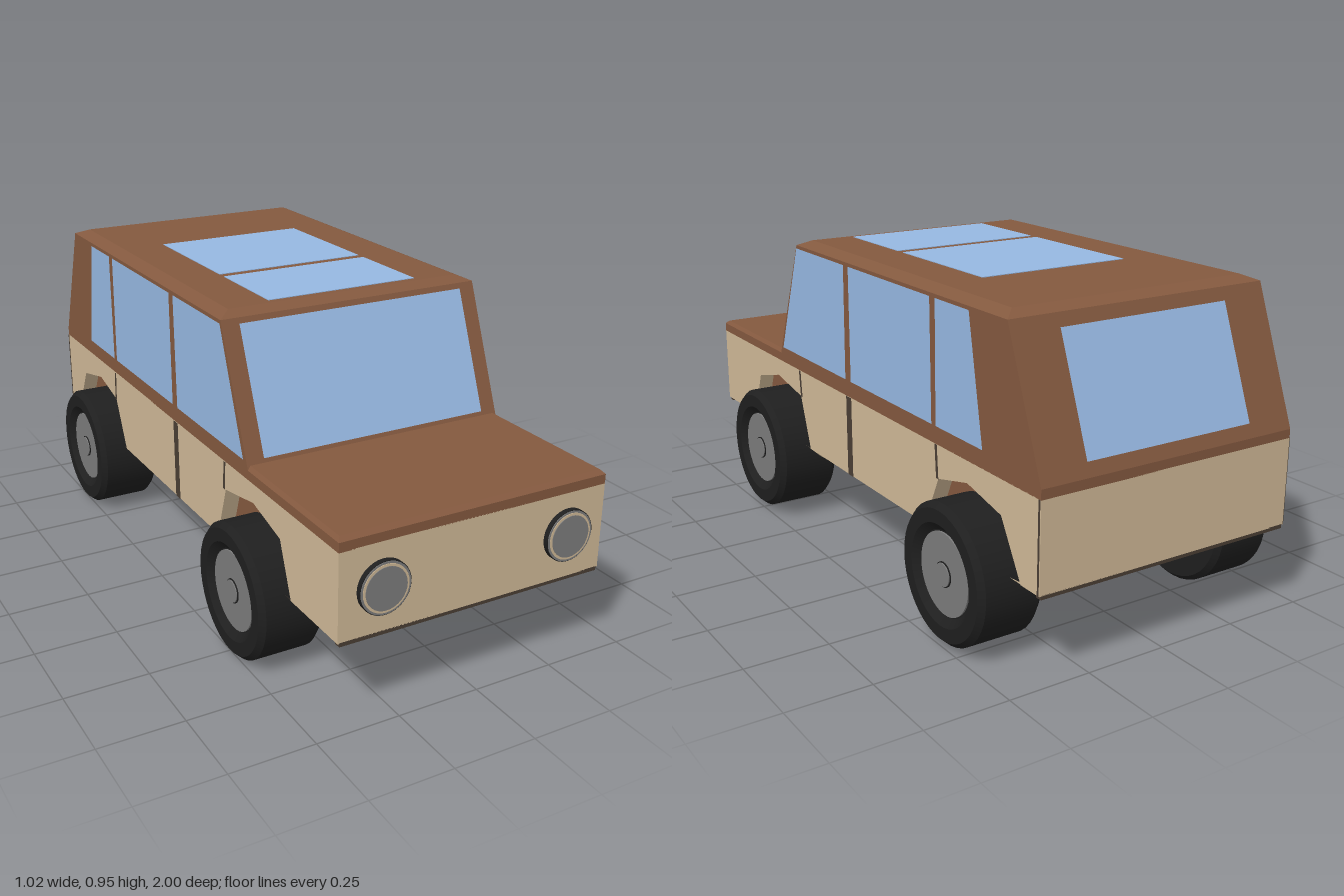
import * as THREE from 'three';

const mat = (name, color, side = THREE.FrontSide) => {
  const m = new THREE.MeshStandardMaterial({ color, side });
  m.name = name;
  return m;
};

// Flat-shaded geometry from four-cornered faces, corners counterclockwise
function quads(list) {
  const p = [];
  for (const [a, b, c, d] of list) p.push(...a, ...b, ...c, ...a, ...c, ...d);
  const g = new THREE.BufferGeometry();
  g.setAttribute('position', new THREE.Float32BufferAttribute(p, 3));
  g.computeVertexNormals();
  return g;
}

// Stacked rectangles [x0, x1, z0, z1, y], joined and capped
function stack(levels) {
  const rings = levels.map(([x0, x1, z0, z1, y]) => [[x0, y, z0], [x0, y, z1], [x1, y, z1], [x1, y, z0]]);
  const faces = [[...rings[0]].reverse(), rings[rings.length - 1]];
  for (let r = 0; r + 1 < rings.length; r++)
    for (let i = 0; i < 4; i++) {
      const j = (i + 1) % 4;
      faces.push([rings[r][i], rings[r][j], rings[r + 1][j], rings[r + 1][i]]);
    }
  return quads(faces);
}

// Side outline [z, y] extruded between x0 and x1
function sidePlate(pts, x0, x1) {
  const shape = new THREE.Shape(pts.map(([z, y]) => new THREE.Vector2(z, y)));
  const g = new THREE.ExtrudeGeometry(shape, { depth: x1 - x0, bevelEnabled: false });
  return g.rotateY(-Math.PI / 2).translate(x1, 0, 0);
}

const box = (x0, x1, y0, y1, z0, z1) =>
  new THREE.BoxGeometry(x1 - x0, y1 - y0, z1 - z0).translate((x0 + x1) / 2, (y0 + y1) / 2, (z0 + z1) / 2);

export function createModel() {
  const brown = mat('brown paint', 0x84593f);
  const tan = mat('tan panel', 0xd0b997, THREE.DoubleSide);
  const glass = mat('blue glass', 0x96b8e2);
  const dark = mat('dark underside', 0x4a3e34, THREE.DoubleSide);
  const rubber = mat('black rubber', 0x1f1f1f, THREE.DoubleSide);
  const metal = mat('grey metal', 0x7c7c7c);

  const car = new THREE.Group();
  car.name = 'car';
  const add = (name, geo, material, parent = car) => {
    const m = new THREE.Mesh(geo, material);
    m.name = name;
    parent.add(m);
    return m;
  };
  const R = -0.43, L = 0.415, F = 0.98, B = -1;

  // Belt with hood, and the cabin with its bevelled roof
  add('hoodAndBelt', stack([[R, L, B, F, 0.518], [R, L, B, F, 0.546], [R + 0.01, L - 0.01, B + 0.01, F - 0.015, 0.557]]), brown);
  add('cabin', stack([[R, L, B, 0.49, 0.546], [R, L, -0.85, 0.335, 0.935], [R + 0.04, L - 0.04, -0.81, 0.3, 0.952]]), brown);

  // Lower body: recessed core, side panels with wheel arches, end panels
  add('bodyCore', box(R + 0.05, L - 0.05, 0.255, 0.52, B + 0.04, F - 0.04), brown);
  const outline = [[B, 0.262], [-0.92, 0.262], [-0.83, 0.42], [-0.67, 0.455], [-0.525, 0.42], [-0.45, 0.262],
    [0.285, 0.262], [0.345, 0.43], [0.52, 0.46], [0.675, 0.42], [0.735, 0.262], [F, 0.262], [F, 0.52], [B, 0.52]];
  add('rightPanel', sidePlate(outline, R, R + 0.06), tan);
  add('leftPanel', sidePlate(outline, L - 0.06, L), tan);
  add('frontPanel', box(R + 0.06, L - 0.06, 0.262, 0.52, F - 0.05, F), tan);
  add('rearPanel', box(R + 0.06, L - 0.06, 0.262, 0.52, B, B + 0.05), tan);

  // Uneven underside with sloped sills
  const stations = [[B, 0.257], [-0.9, 0.235], [-0.45, 0.226], [0, 0.245], [0.3, 0.222], [0.7, 0.226], [0.9, 0.245], [F, 0.257]];
  const sections = stations.map(([z, y]) => [[R, 0.264, z], [R + 0.035, y, z], [L - 0.045, y, z], [L, 0.264, z]]);
  const strip = (i) => sections.slice(1).map((s, k) => [sections[k][i], sections[k][i + 1], s[i + 1], s[i]]);
  add('underside', quads([...strip(0), ...strip(1)]), dark);
  add('leftSill', quads(strip(2)), tan);
  add('frontLip', box(R + 0.005, L - 0.005, 0.252, 0.264, F - 0.02, F), dark);
  add('rearLip', box(R + 0.005, L - 0.005, 0.252, 0.264, B, B + 0.02), dark);

  // Side windows and door seams, as [z, y] outlines on both sides
  const sideFace = (name, pts, material, off) => {
    add('right' + name, quads([pts.map(([z, y]) => [R - off, y, z])]), material);
    add('left' + name, quads([pts.map(([z, y]) => [L + off, y, z]).reverse()]), material);
  };
  const lo = 0.57, hi = 0.925;
  sideFace('FrontWindow', [[0.015, lo], [0.465, lo], [0.333, hi], [0.01, hi]], glass, 0.002);
  sideFace('MiddleWindow', [[-0.493, lo], [-0.02, lo], [-0.02, hi], [-0.487, hi]], glass, 0.002);
  sideFace('RearWindow', [[-0.745, lo], [-0.515, lo], [-0.515, hi], [-0.68, hi]], glass, 0.002);
  sideFace('DoorSeam', [[-0.02, 0.262], [0.013, 0.262], [0.013, 0.518], [-0.02, 0.518]], dark, 0.002);
  sideFace('FrontSeam', [[0.33, 0.43], [0.342, 0.43], [0.35, 0.518], [0.338, 0.518]], dark, 0.002);
  sideFace('RearSeam', [[-0.528, 0.42], [-0.516, 0.42], [-0.509, 0.518], [-0.521, 0.518]], dark, 0.002);
  sideFace('CornerSeam', [[B, 0.262], [B + 0.008, 0.262], [B + 0.008, 0.52], [B, 0.52]], dark, 0.002);

  // Windscreen, rear window and roof windows
  const fz = (y) => 0.49 - 0.4 * ((y - 0.546) / 0.389) * 0.3875 + 0.004;
  const bz = (y) => B + 0.15 * ((y - 0.546) / 0.389) - 0.004;
  add('windscreen', quads([[[-0.377, 0.57, fz(0.57)], [0.363, 0.57, fz(0.57)], [0.363, 0.92, fz(0.92)], [-0.377, 0.92, fz(0.92)]]]), glass);
  add('rearWindow', quads([[[0.268, 0.585, bz(0.585)], [-0.283, 0.585, bz(0.585)], [-0.283, 0.9, bz(0.9)], [0.268, 0.9, bz(0.9)]]]), glass);
  add('rearRoofWindow', box(-0.253, 0.24, 0.948, 0.954, -0.475, -0.04), glass);
  add('frontRoofWindow', box(-0.253, 0.24, 0.948, 0.954, -0.01, 0.28), glass);

  // Headlights: dark housing, grey rim, tan ring, grey lens
  for (const x of [-0.3, 0.29]) {
    const lamp = new THREE.Group();
    lamp.name = 'headlight';
    lamp.position.set(x, 0.395, F);
    car.add(lamp);
    const disc = (name, r, z, material) =>
      add(name, new THREE.CylinderGeometry(r, r, z, 32).rotateX(Math.PI / 2).translate(0, 0, z / 2), material, lamp);
    disc('housing', 0.077, 0.015, rubber);
    disc('rim', 0.075, 0.0165, metal);
    disc('ring', 0.069, 0.018, tan);
    disc('lens', 0.062, 0.02, metal);
  }

  // Wheels with stub axles; the wheel's outer face points along +y before turning
  const profile = [[0.1, -0.1], [0.185, -0.1], [0.2, -0.083], [0.2, 0.083], [0.185, 0.1], [0.145, 0.1], [0.122, 0.08], [0.115, 0.08]];
  const tyreParts = profile.slice(1).map((p, i) => [profile[i], p]);
  const wheel = (name, side, x, y, z) => {
    const g = new THREE.Group();
    g.name = name;
    g.position.set(x, y, z);
    g.rotation.z = -side * Math.PI / 2;
    car.add(g);
    for (const pair of tyreParts)
      add('tyre', new THREE.LatheGeometry(pair.map(([r, h]) => new THREE.Vector2(r, h)), 40), rubber, g);
    add('innerFace', new THREE.CylinderGeometry(0.11, 0.11, 0.02, 32).translate(0, -0.088, 0), rubber, g);
    add('rim', new THREE.CylinderGeometry(0.118, 0.118, 0.06, 40).translate(0, 0.055, 0), metal, g);
    add('hubRing', new THREE.CylinderGeometry(0.036, 0.036, 0.004, 24).translate(0, 0.086, 0), rubber, g);
    add('hubCap', new THREE.CylinderGeometry(0.033, 0.033, 0.008, 24).translate(0, 0.087, 0), metal, g);
    add('axle', new THREE.CylinderGeometry(0.04, 0.04, 0.24, 20).translate(0, -0.19, 0), metal, g);
  };
  for (const [end, z] of [['front', 0.515], ['rear', -0.677]]) {
    wheel(end + 'RightWheel', -1, -0.41, 0.202, z);
    wheel(end + 'LeftWheel', 1, 0.407, 0.214, z);
  }
  return car;
}
